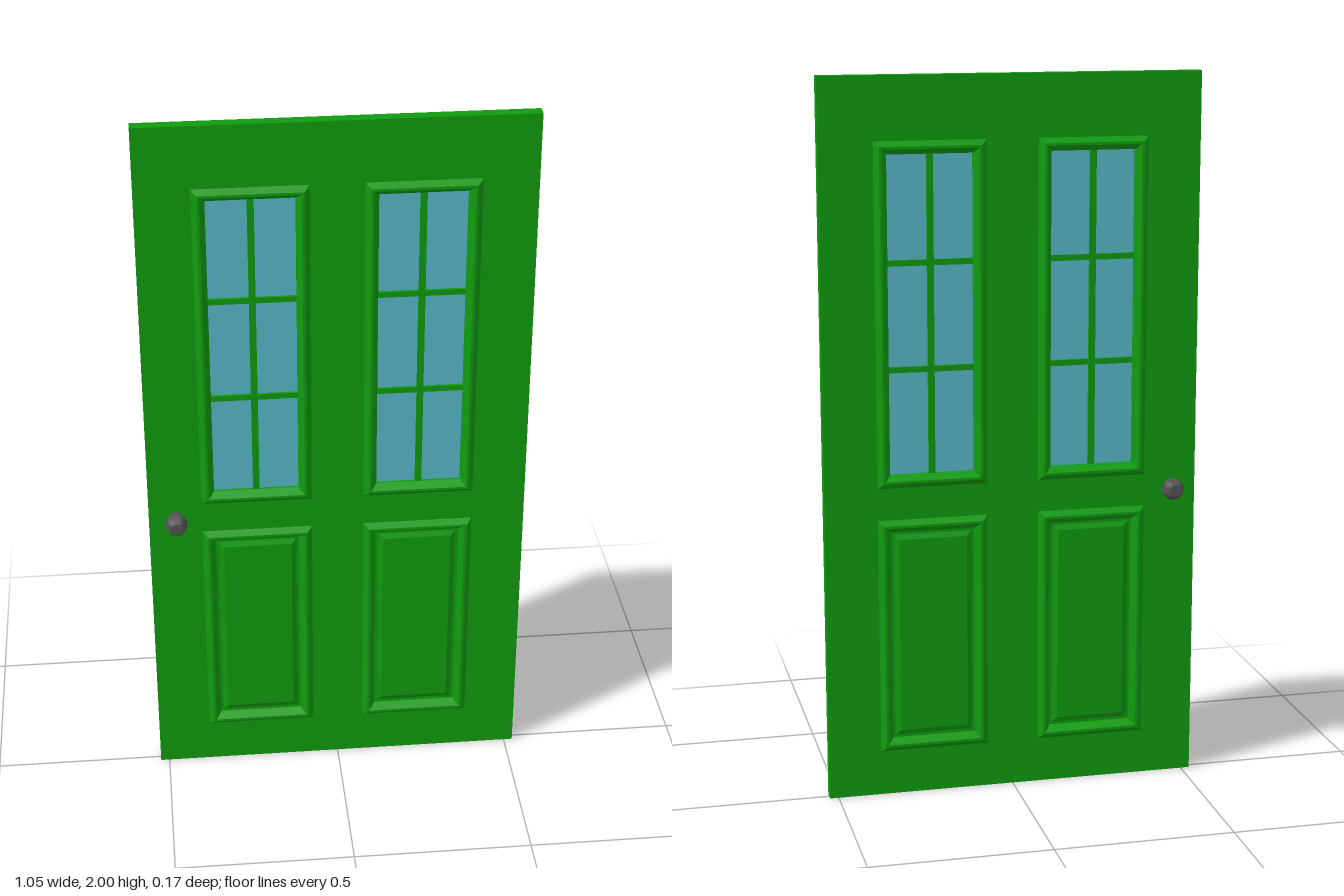
import * as THREE from 'three';
import { toCreasedNormals } from 'three/addons/utils/BufferGeometryUtils.js';

const HALF_W = 0.525, HEIGHT = 2, HALF_T = 0.017;
const COLUMN_X = 0.225, HALF_OPENING = 0.153;
const WINDOW = { y0: 0.885, y1: 1.828 };
const PANEL = { y0: 0.127, y1: 0.795 };

// Moulding profiles as [inset from opening edge, depth]
const MOULDING = [[0, HALF_T], [0.014, 0.031], [0.021, 0.031], [0.036, 0.012]];
const WINDOW_PROFILE = [...MOULDING, [0.036, 0.003]];
const PANEL_PROFILE = [...MOULDING, [0.036, 0.008], [0.044, 0.008], [0.058, 0.015]];

// Mitred rectangular frame swept from a profile, optionally closed by a flat centre
function mitredFrame(x, { y0, y1 }, profile, closed) {
  const loops = profile.map(([d, z]) => {
    const l = x - HALF_OPENING + d, r = x + HALF_OPENING - d;
    return [[l, y0 + d, z], [r, y0 + d, z], [r, y1 - d, z], [l, y1 - d, z]];
  });
  const pos = [];
  const quad = (a, b, c, d) => pos.push(...a, ...b, ...c, ...a, ...c, ...d);
  for (let k = 0; k < loops.length - 1; k++) {
    for (let i = 0; i < 4; i++) {
      const j = (i + 1) % 4;
      quad(loops[k][i], loops[k][j], loops[k + 1][j], loops[k + 1][i]);
    }
  }
  if (closed) quad(...loops[loops.length - 1]);
  const geo = new THREE.BufferGeometry();
  geo.setAttribute('position', new THREE.Float32BufferAttribute(pos, 3));
  geo.computeVertexNormals();
  return geo;
}

function rectangle(path, l, r, b, t) {
  path.moveTo(l, b).lineTo(r, b).lineTo(r, t).lineTo(l, t).closePath();
  return path;
}

export function createModel() {
  const door = new THREE.Group();
  door.name = 'door';
  const green = new THREE.MeshStandardMaterial({ color: 0x109c0f });
  green.name = 'green paint';
  const glass = new THREE.MeshStandardMaterial({ color: 0x58b8ca });
  glass.name = 'blue glass';
  const metal = new THREE.MeshStandardMaterial({ color: 0x555355 });
  metal.name = 'dark metal';

  const add = (parent, name, geo, mat, x = 0, y = 0, z = 0) => {
    const mesh = new THREE.Mesh(geo, mat);
    mesh.name = name;
    mesh.position.set(x, y, z);
    parent.add(mesh);
    return mesh;
  };

  // Slab with four openings
  const outline = rectangle(new THREE.Shape(), -HALF_W, HALF_W, 0, HEIGHT);
  for (const x of [-COLUMN_X, COLUMN_X]) {
    for (const { y0, y1 } of [WINDOW, PANEL]) {
      outline.holes.push(rectangle(new THREE.Path(), x - HALF_OPENING, x + HALF_OPENING, y0, y1));
    }
  }
  const slab = new THREE.ExtrudeGeometry(outline, { depth: 2 * HALF_T, bevelEnabled: false });
  add(door, 'slab', slab, green, 0, 0, -HALF_T);

  // Mouldings and raised panels, repeated on both faces
  for (const side of ['front', 'back']) {
    const face = new THREE.Group();
    face.name = side + 'Mouldings';
    face.rotation.y = side === 'back' ? Math.PI : 0;
    for (const x of [-COLUMN_X, COLUMN_X]) {
      add(face, 'windowFrame', mitredFrame(x, WINDOW, WINDOW_PROFILE, false), green);
      add(face, 'raisedPanel', mitredFrame(x, PANEL, PANEL_PROFILE, true), green);
    }
    door.add(face);
  }

  // Glass panes and glazing bars
  const b = WINDOW.y0 + 0.036, t = WINDOW.y1 - 0.036;
  const w = 2 * (HALF_OPENING - 0.036), h = t - b;
  for (const x of [-COLUMN_X, COLUMN_X]) {
    const win = new THREE.Group();
    win.name = x > 0 ? 'leftWindow' : 'rightWindow';
    add(win, 'glass', new THREE.BoxGeometry(w, h, 0.008), glass, x, (b + t) / 2);
    add(win, 'verticalBar', new THREE.BoxGeometry(0.018, h, 0.024), green, x, (b + t) / 2);
    for (const k of [1, 2]) {
      add(win, 'horizontalBar', new THREE.BoxGeometry(w, 0.016, 0.023), green, x, b + (h * k) / 3);
    }
    door.add(win);
  }

  // Knobs on both faces joined by a spindle
  const half = [[0.016, 0.034], [0.024, 0.037], [0.03, 0.05], [0.03, 0.062],
    [0.025, 0.076], [0.017, 0.085], [0, 0.085]];
  const profile = [
    ...half.map(([r, z]) => new THREE.Vector2(r, -z)).reverse(),
    ...half.map(([r, z]) => new THREE.Vector2(r, z)),
  ];
  const knob = toCreasedNormals(new THREE.LatheGeometry(profile, 20), 0.8);
  add(door, 'doorKnobs', knob, metal, -0.45, 0.848).rotation.x = Math.PI / 2;

  return door;
}
